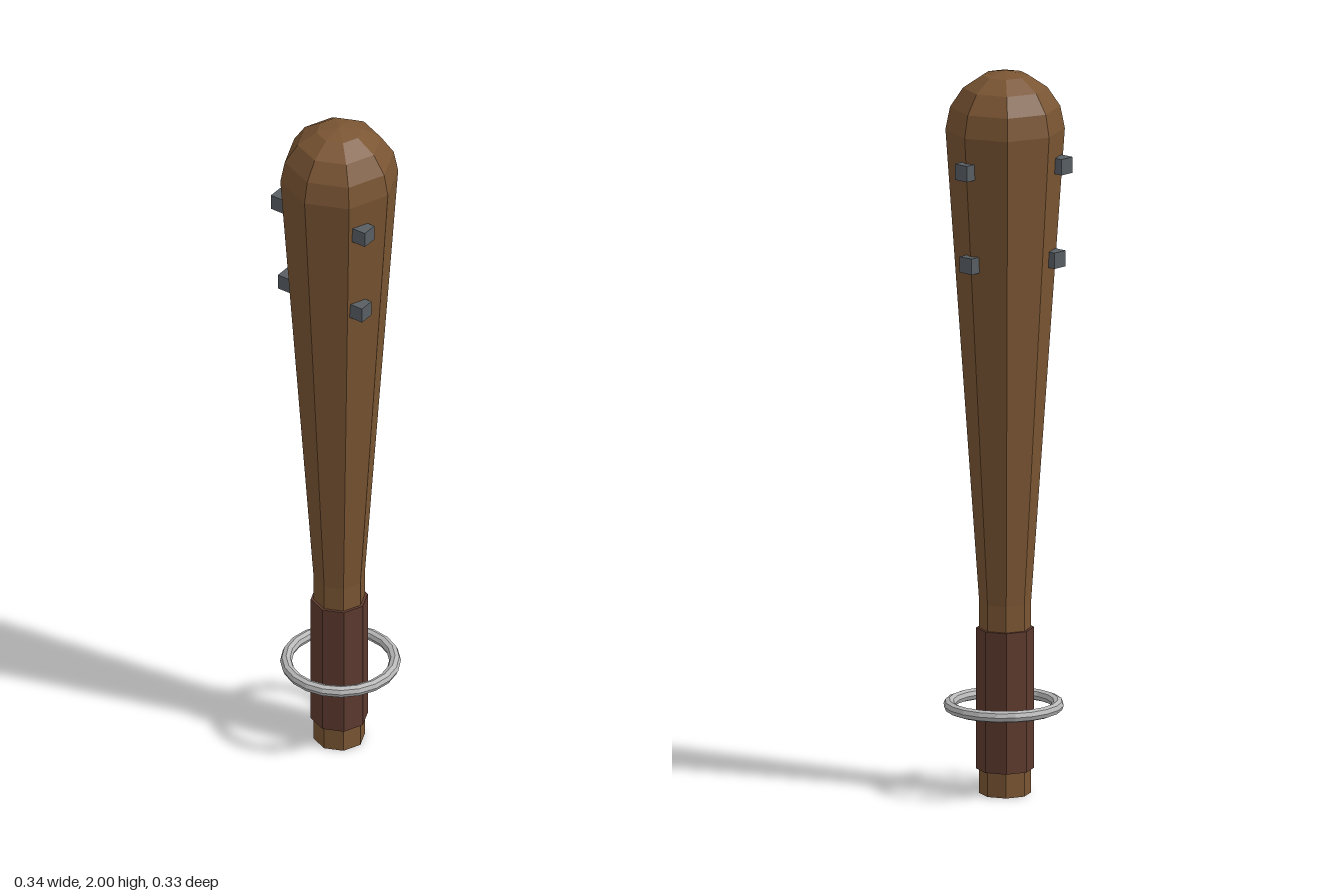
import * as THREE from 'three';

const SIDES = 8;
const AXIS_X = -0.008; // the club sits slightly off centre because the studs are uneven

function flatMaterial(name, color) {
  const material = new THREE.MeshStandardMaterial({ color, flatShading: true });
  material.name = name;
  return material;
}

export function createModel() {
  const group = new THREE.Group();
  group.name = 'club';

  const wood = flatMaterial('wood', 0x7a5533);
  const leather = flatMaterial('leather', 0x5d3a2e);
  const iron = flatMaterial('iron', 0x585e63);
  const steel = flatMaterial('steel', 0xb8b8b8);

  const add = (name, geometry, material, x, y, z) => {
    const mesh = new THREE.Mesh(geometry, material);
    mesh.name = name;
    mesh.position.set(x, y, z);
    group.add(mesh);
    return mesh;
  };

  // Wooden shaft: straight handle, flaring body and a rounded head
  const headRadius = 0.161, headY = 1.839;
  const profile = [
    new THREE.Vector2(0, 0),
    new THREE.Vector2(0.07, 0),
    new THREE.Vector2(0.07, 0.53),
  ];
  for (let i = 0; i <= 4; i++) {
    const a = (i / 4) * Math.PI / 2;
    const r = i === 4 ? 0 : headRadius * Math.cos(a);
    profile.push(new THREE.Vector2(r, headY + headRadius * Math.sin(a)));
  }
  add('shaft', new THREE.LatheGeometry(profile, SIDES), wood, AXIS_X, 0, 0);

  // Leather wrap around the handle
  add('gripWrap', new THREE.CylinderGeometry(0.078, 0.078, 0.39, SIDES), leather, AXIS_X, 0.263, 0);

  // Loose metal ring around the grip
  const ring = new THREE.TorusGeometry(0.147, 0.016, 8, 20);
  ring.rotateX(Math.PI / 2);
  add('gripRing', ring, steel, -0.002, 0.245, 0);

  // Two rows of three square studs
  const studRows = [
    { name: 'lowerStud', y: 1.486, radius: 0.135 },
    { name: 'upperStud', y: 1.746, radius: 0.154 },
  ];
  const stud = new THREE.BoxGeometry(0.044, 0.044, 0.044);
  for (const row of studRows) {
    for (let i = 0; i < 3; i++) {
      const a = (i / 3) * Math.PI * 2;
      add(row.name + (i + 1), stud, iron,
        AXIS_X + row.radius * Math.cos(a), row.y, row.radius * Math.sin(a));
    }
  }

  return group;
}
